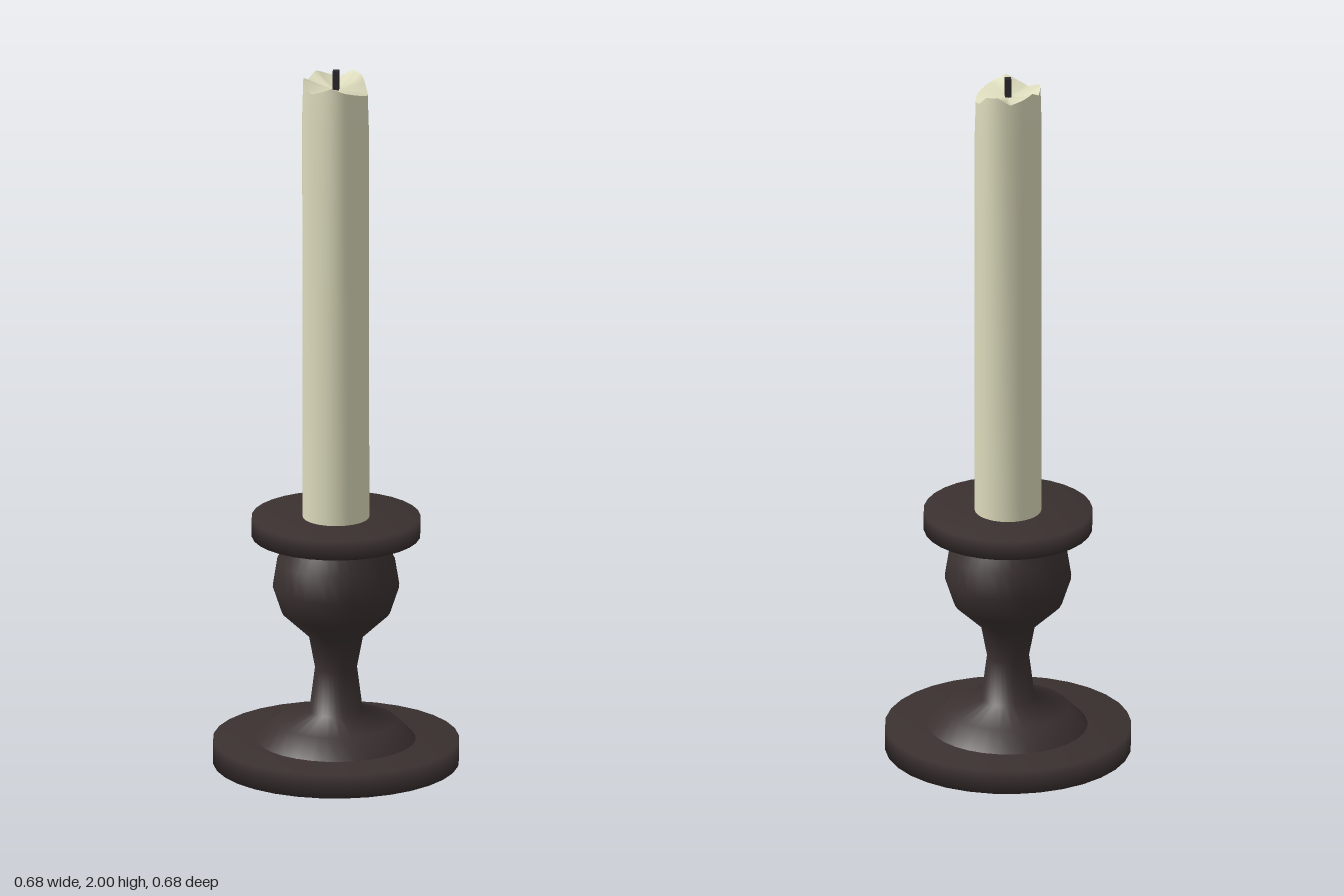
import * as THREE from 'three';
import { mergeVertices } from 'three/addons/utils/BufferGeometryUtils.js';

const SEGMENTS = 32;
const RADIUS = 0.092;
const PLATE_TOP = 0.71;

// Rim heights of the melted candle, every 22.5 degrees from +z towards +x
const RIM = [1.975, 1.96, 1.95, 1.94, 1.93, 1.94, 1.97, 1.977,
  1.955, 1.965, 1.978, 1.96, 1.975, 1.965, 1.948, 1.96];

function rimHeight(angle) {
  const t = (((angle / (Math.PI * 2)) % 1 + 1) % 1) * RIM.length;
  const i = Math.floor(t) % RIM.length;
  return THREE.MathUtils.lerp(RIM[i], RIM[(i + 1) % RIM.length], t - Math.floor(t));
}

// Slightly uneven wax radius, growing towards the top
function waxRadius(angle, up) {
  return RADIUS + up * (0.0015 * Math.sin(5 * angle + 1) + 0.0015 * Math.sin(3 * angle));
}

function lathe(profile, segments = SEGMENTS) {
  return new THREE.LatheGeometry(profile.map(([r, y]) => new THREE.Vector2(r, y)), segments);
}

// Lathe of (radius share, height share) points, reshaped by a rule and smoothed over its seam
function waxSurface(profile, place) {
  let geometry = lathe(profile, 48);
  const p = geometry.attributes.position;
  for (let i = 0; i < p.count; i++) {
    const x = p.getX(i), z = p.getZ(i);
    const [r, y] = place(Math.atan2(x, z), Math.hypot(x, z), p.getY(i));
    const length = Math.hypot(x, z) || 1;
    p.setXYZ(i, (x / length) * r, y, (z / length) * r);
  }
  geometry.deleteAttribute('normal');
  geometry.deleteAttribute('uv');
  geometry = mergeVertices(geometry, 1e-5);
  geometry.computeVertexNormals();
  return geometry;
}

export function createModel() {
  const group = new THREE.Group();
  const material = (name, color, side = THREE.FrontSide) => {
    const m = new THREE.MeshStandardMaterial({ color, side });
    m.name = name;
    return m;
  };
  const wood = material('dark wood', 0x3a3030);
  const wax = material('cream wax', 0xdcdabb, THREE.DoubleSide);
  const char = material('charred wick', 0x2e2a2e);

  const add = (name, geometry, mat) => {
    const mesh = new THREE.Mesh(geometry, mat);
    mesh.name = name;
    group.add(mesh);
    return mesh;
  };

  // Turned holder: round base, stem with bulb, drip plate
  add('base', lathe([[0, 0], [0.34, 0], [0.34, 0.068], [0, 0.068]]), wood);
  add('stem', lathe([
    [0.222, 0.066], [0.17, 0.12], [0.074, 0.15], [0.058, 0.275], [0.075, 0.365],
    [0.15, 0.435], [0.175, 0.51], [0.163, 0.585], [0.12, 0.655],
  ]), wood);
  add('dripPlate', lathe([[0, 0.655], [0.233, 0.655], [0.233, PLATE_TOP], [0, PLATE_TOP]]), wood);

  // Candle wall rising to the uneven rim
  add('candleWall', waxSurface([[1, 0], [1, 0.35], [1, 0.7], [1, 0.92], [1, 1]],
    (a, r, h) => [
      waxRadius(a, h) - (h === 1 ? 0.003 : 0),
      THREE.MathUtils.lerp(PLATE_TOP - 0.01, rimHeight(a), h),
    ]), wax);

  // Melted hollow falling from the rim to the wick
  add('candleTop', waxSurface([[1, 0], [0.7, 0], [0.35, 0], [0, 0]],
    (a, r) => [
      r * (waxRadius(a, 1) - 0.003),
      THREE.MathUtils.lerp(1.945, rimHeight(a), r * r),
    ]), wax);

  // Square wick
  const wick = add('wick', new THREE.BoxGeometry(0.017, 0.07, 0.017), char);
  wick.position.y = 1.965;

  return group;
}
